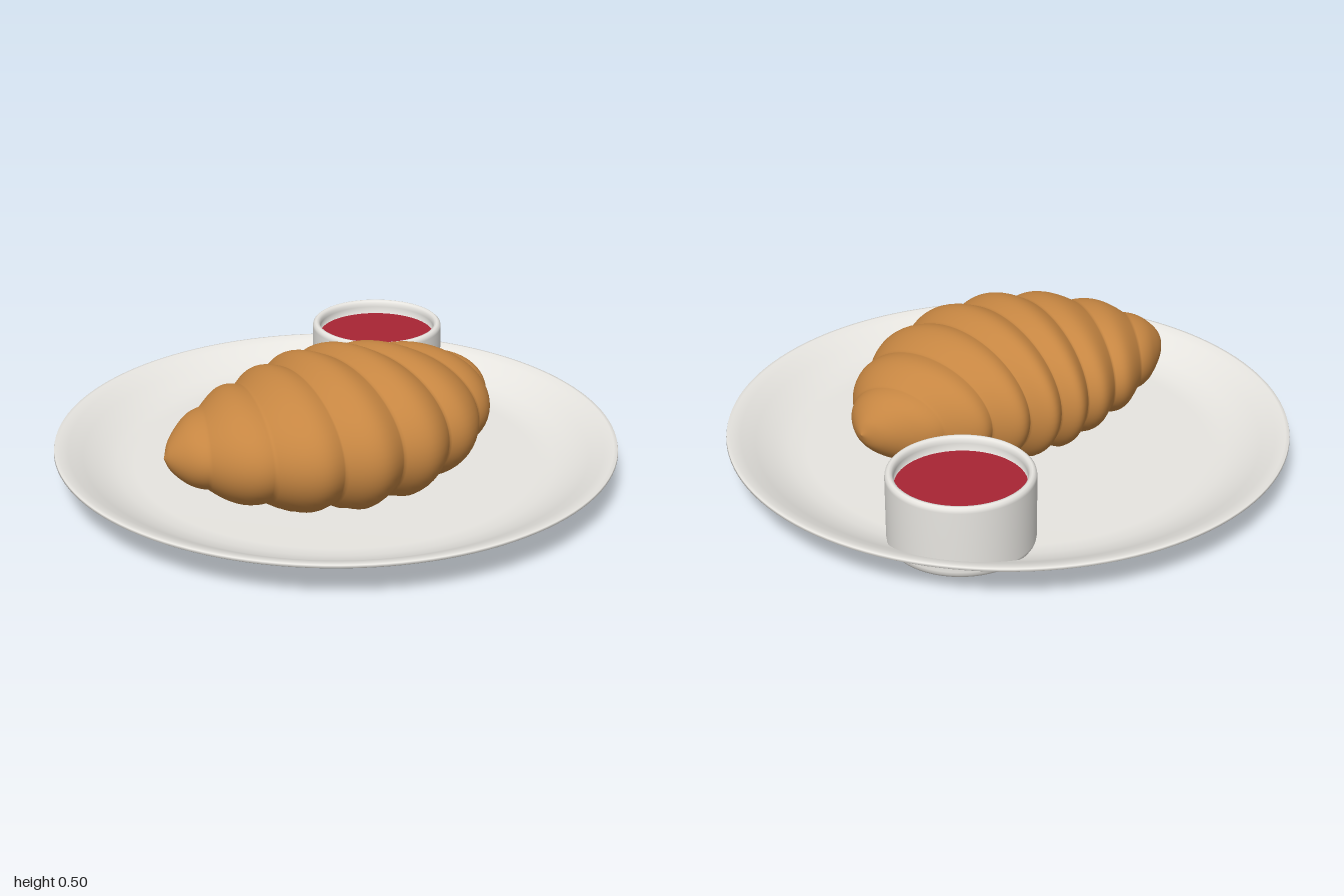
import * as THREE from 'three';

const ceramic = new THREE.MeshStandardMaterial({ name: 'whiteCeramic', color: 0xf2f0eb });
const crust = new THREE.MeshStandardMaterial({ name: 'goldenCrust', color: 0xc68642 });
const jamRed = new THREE.MeshStandardMaterial({ name: 'jamRed', color: 0xa82434 });

function lathe(name, profile, material, segments = 96) {
  const points = profile.map(([r, y]) => new THREE.Vector2(r, y));
  const mesh = new THREE.Mesh(new THREE.LatheGeometry(points, segments), material);
  mesh.name = name;
  return mesh;
}

// Crescent pastry: elliptical sections fanned along x, pinched between the ribs.
function croissantGeometry() {
  // Half-rib stations: [front x, front z, back x, back z, half height]
  const stations = [
    [0, 0.545, 0, -0.28, 0.265],
    [0.11, 0.535, 0.06, -0.275, 0.26],
    [0.22, 0.51, 0.12, -0.265, 0.25],
    [0.32, 0.465, 0.185, -0.25, 0.23],
    [0.43, 0.4, 0.255, -0.23, 0.208],
    [0.515, 0.31, 0.33, -0.205, 0.18],
    [0.585, 0.225, 0.415, -0.165, 0.145],
    [0.63, 0.13, 0.51, -0.11, 0.1],
    [0.65, 0.07, 0.6, -0.04, 0.05],
    [0.655, 0.03, 0.655, 0.03, 0],
  ];
  const front = new THREE.CatmullRomCurve3(
    stations.map((s) => new THREE.Vector3(s[0], s[4], s[1])), false, 'catmullrom');
  const back = new THREE.CatmullRomCurve3(
    stations.map((s) => new THREE.Vector3(s[2], s[4], s[3])), false, 'catmullrom');

  const end = 4.5, perRib = 24, around = 64, middleY = 0.24, floorY = 0.055;
  const rings = 2 * end * perRib;
  const positions = [], index = [];
  for (let i = 0; i <= rings; i++) {
    const u = i / perRib - end, a = Math.abs(u), side = Math.sign(u);
    const f = front.getPoint(a / end), b = back.getPoint(a / end);
    const bulge = a > 3.5 ? 1 : Math.abs(Math.sin(Math.PI * a));
    const pinch = 1 - 0.11 * (1 - bulge);
    for (let j = 0; j < around; j++) {
      const angle = (j / around) * Math.PI * 2;
      const across = 0.5 + 0.5 * Math.cos(angle) * pinch;
      positions.push(
        side * THREE.MathUtils.lerp(b.x, f.x, across),
        Math.max(floorY, middleY + f.y * Math.sin(angle) * pinch),
        THREE.MathUtils.lerp(b.z, f.z, across));
      if (i < rings) {
        const next = (j + 1) % around;
        const p = i * around + j, q = i * around + next;
        index.push(p, p + around, q, q, p + around, q + around);
      }
    }
  }
  const geometry = new THREE.BufferGeometry();
  geometry.setAttribute('position', new THREE.Float32BufferAttribute(positions, 3));
  geometry.setIndex(index);
  geometry.computeVertexNormals();
  return geometry;
}

export function createModel() {
  const model = new THREE.Group();
  model.name = 'croissantPlate';

  // Plate with a recessed foot, sloping side and thin rim
  model.add(lathe('plate', [
    [0, 0.018], [0.47, 0.018], [0.485, 0.014], [0.497, 0.002], [0.51, 0],
    [0.59, 0], [0.61, 0.002], [0.72, 0.019], [0.82, 0.042], [0.9, 0.083],
    [0.95, 0.11], [0.99, 0.123], [1, 0.13], [0.998, 0.138], [0.985, 0.14],
    [0.95, 0.128], [0.9, 0.102], [0.84, 0.072], [0.78, 0.056], [0.72, 0.05], [0, 0.05],
  ], ceramic, 128));

  // Croissant
  const croissant = new THREE.Mesh(croissantGeometry(), crust);
  croissant.name = 'croissant';
  croissant.position.x = -0.065;
  model.add(croissant);

  // Jam pot
  const pot = new THREE.Group();
  pot.name = 'jamPot';
  pot.position.set(0.515, 0, -0.47);
  pot.add(lathe('ramekin', [
    [0, 0.055], [0.225, 0.055], [0.238, 0.058], [0.245, 0.068], [0.247, 0.08],
    [0.247, 0.295], [0.245, 0.306], [0.238, 0.313], [0.232, 0.314],
    [0.224, 0.311], [0.219, 0.302], [0.218, 0.29], [0.218, 0.25], [0, 0.25],
  ], ceramic));
  const jam = new THREE.Mesh(new THREE.CylinderGeometry(0.219, 0.219, 0.012, 96), jamRed);
  jam.name = 'jam';
  jam.position.y = 0.257;
  pot.add(jam);
  model.add(pot);

  return model;
}
